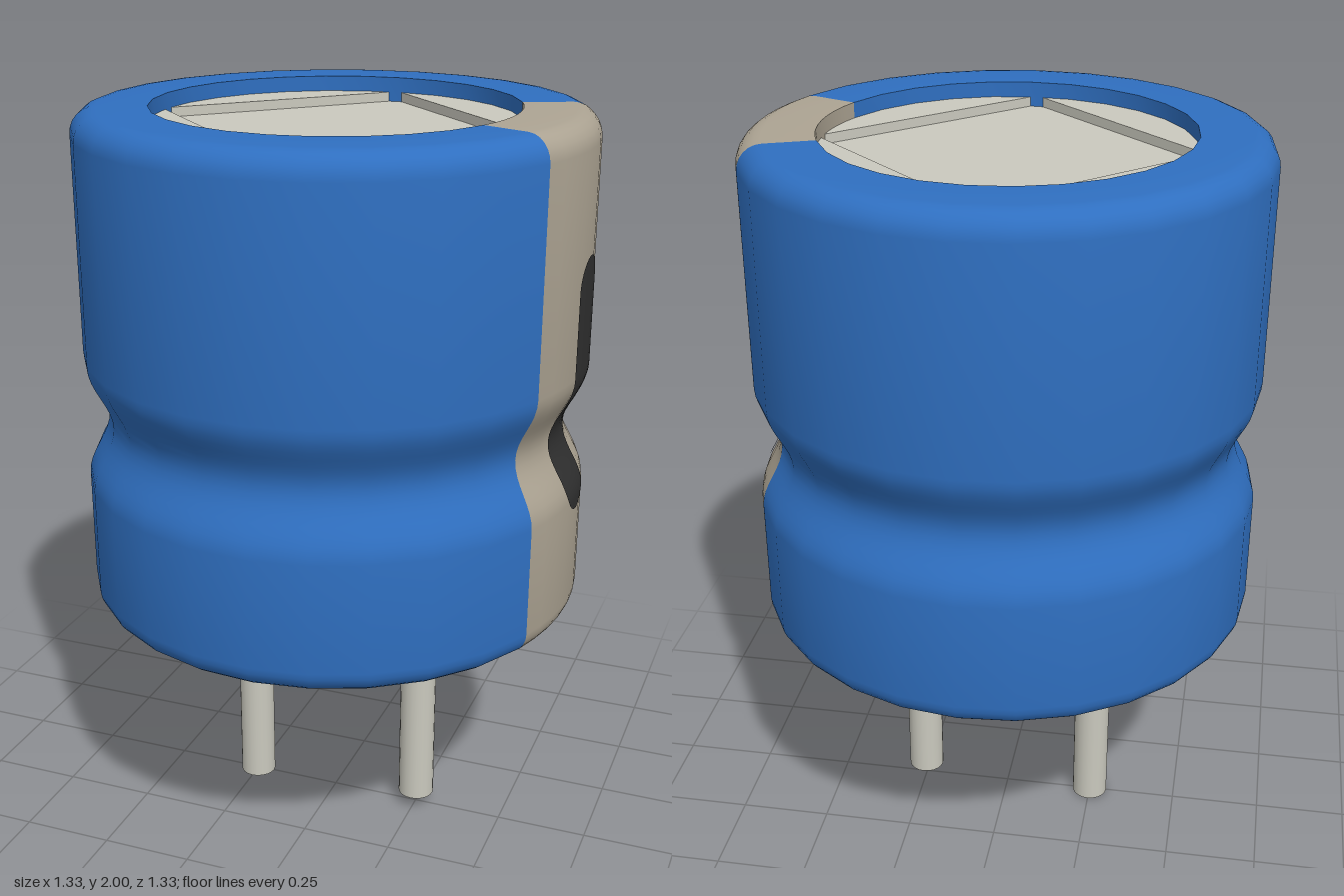
import * as THREE from 'three';
import { toCreasedNormals } from 'three/addons/utils/BufferGeometryUtils.js';

const R = 0.665, INNER = 0.47, BOTTOM = 0.675, TOP = 2, FILLET = 0.065;
const GROOVE_Y = 1.2, GROOVE_H = 0.17, GROOVE_D = 0.06;

// Radius of the sleeve wall at height y, including the crimped groove
function wallRadius(y) {
  const t = (y - GROOVE_Y) / GROOVE_H;
  return Math.abs(t) >= 1 ? R : R - GROOVE_D * 0.5 * (1 + Math.cos(Math.PI * t));
}

// Sleeve section: bottom lip, rounded edge, grooved wall, rounded edge, top lip
function sleeveProfile() {
  const pts = [new THREE.Vector2(INNER, BOTTOM + 0.07), new THREE.Vector2(INNER, BOTTOM)];
  const corner = (cy, from) => {
    for (let i = 0; i <= 6; i++) {
      const a = from + (i / 6) * Math.PI / 2;
      pts.push(new THREE.Vector2(R - FILLET + FILLET * Math.cos(a), cy + FILLET * Math.sin(a)));
    }
  };
  corner(BOTTOM + FILLET, -Math.PI / 2);
  for (let i = 0; i <= 16; i++) {
    const y = GROOVE_Y + GROOVE_H * (i / 8 - 1);
    pts.push(new THREE.Vector2(wallRadius(y), y));
  }
  corner(TOP - FILLET, 0);
  pts.push(new THREE.Vector2(INNER, TOP), new THREE.Vector2(INNER, TOP - 0.07));
  return pts;
}

// Rounded bar that hugs the wall on the +x side
function markGeometry(y0, y1, half) {
  const geo = new THREE.PlaneGeometry(2, 1, 6, 64);
  const p = geo.attributes.position;
  for (let i = 0; i < p.count; i++) {
    const t = p.getY(i) + 0.5;
    const y = y0 + (y1 - y0) * 0.5 * (1 - Math.cos(Math.PI * t));
    const d = Math.min(y - y0, y1 - y, half);
    const w = Math.sqrt(Math.max(0, half * half - (half - d) ** 2));
    const z = -p.getX(i) * w;
    const r = wallRadius(y) + 0.004;
    p.setXYZ(i, Math.sqrt(r * r - z * z), y, z);
  }
  geo.computeVertexNormals();
  return geo;
}

export function createModel() {
  const model = new THREE.Group();
  const blue = new THREE.MeshStandardMaterial({ color: 0x2f6fc0 });
  const beige = new THREE.MeshStandardMaterial({ color: 0xada493 });
  const metal = new THREE.MeshStandardMaterial({ color: 0xcac9be });
  const black = new THREE.MeshStandardMaterial({ color: 0x303030 });
  const add = (name, geo, mat, parent = model) => {
    const mesh = new THREE.Mesh(geo, mat);
    mesh.name = name;
    parent.add(mesh);
    return mesh;
  };

  // Sleeve and its polarity stripe, two sectors of the same section
  const profile = sleeveProfile();
  const sector = (segments, start, length) =>
    toCreasedNormals(new THREE.LatheGeometry(profile, segments, start, length), 0.6);
  add('sleeve', sector(24, Math.PI * 5 / 8, Math.PI * 7 / 4), blue);
  add('polarityStripe', sector(8, Math.PI * 3 / 8, Math.PI / 4), beige);
  add('minusMark', markGeometry(1.0, 1.67, 0.08), black);

  // Recessed base
  const base = add('base', new THREE.CircleGeometry(INNER, 32), blue);
  base.rotation.x = Math.PI / 2;
  base.position.y = BOTTOM + 0.07;

  // Can top: floor disc with four raised quadrants leaving a cross-shaped score
  const canTop = new THREE.Group();
  canTop.name = 'canTop';
  model.add(canTop);
  const floor = add('scoreFloor', new THREE.CircleGeometry(INNER, 32), metal, canTop);
  floor.rotation.x = -Math.PI / 2;
  floor.position.y = TOP - 0.065;

  const gap = 0.016, a0 = Math.asin(gap / INNER);
  const quadrant = new THREE.Shape();
  quadrant.moveTo(gap, gap);
  quadrant.absarc(0, 0, INNER, a0, Math.PI / 2 - a0, false);
  quadrant.closePath();
  const quadGeo = new THREE.ExtrudeGeometry(quadrant, { depth: 0.025, bevelEnabled: false, curveSegments: 8 });
  quadGeo.rotateX(-Math.PI / 2);
  for (let i = 0; i < 4; i++) {
    const quad = add('topQuadrant', quadGeo, metal, canTop);
    quad.position.y = TOP - 0.065;
    quad.rotation.y = i * Math.PI / 2;
  }

  // Leads, the one beside the stripe slightly shorter
  for (const [name, x, y0] of [['longLead', -0.25, 0], ['shortLead', 0.25, 0.037]]) {
    const h = BOTTOM + 0.08 - y0;
    add(name, new THREE.CylinderGeometry(0.05, 0.05, h, 20), metal).position.set(x, y0 + h / 2, 0);
  }
  return model;
}
